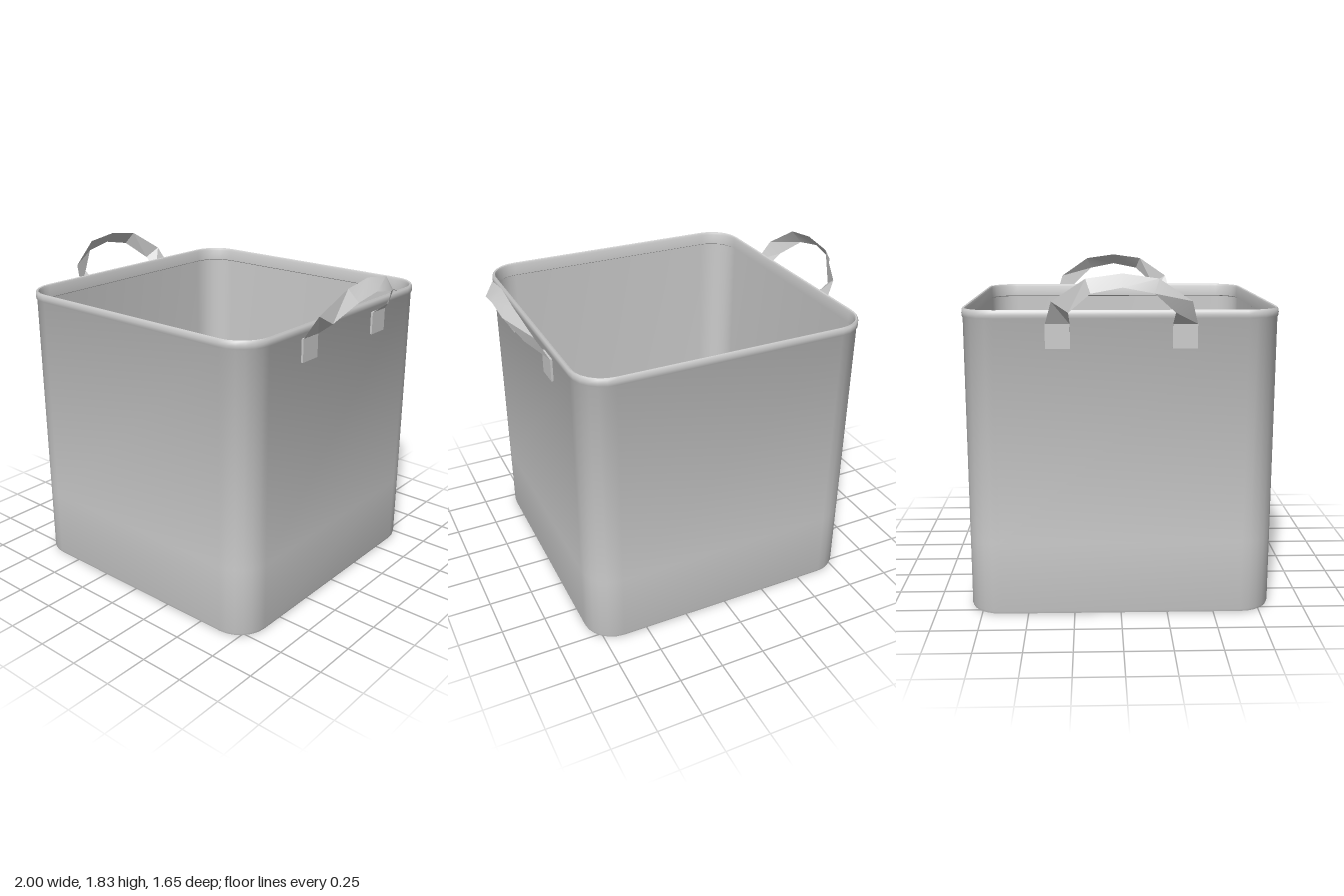
import * as THREE from 'three';
import { toCreasedNormals } from 'three/addons/utils/BufferGeometryUtils.js';

const material = new THREE.MeshStandardMaterial({ color: 0xcccccc, side: THREE.DoubleSide });

// Joins rows of points into a surface; each row has the same number of points.
function loft(rows, crease) {
  const n = rows[0].length;
  const index = [];
  for (let r = 0; r < rows.length - 1; r++) {
    for (let i = 0; i < n - 1; i++) {
      const a = r * n + i, b = a + n;
      index.push(a, b, a + 1, a + 1, b, b + 1);
    }
  }
  const geometry = new THREE.BufferGeometry();
  geometry.setAttribute('position', new THREE.Float32BufferAttribute(rows.flat(2), 3));
  geometry.setIndex(index);
  return toCreasedNormals(geometry, crease);
}

// Closed rounded-rectangle ring at height y, pulled in by inset.
function ring(inset, y) {
  const radius = Math.max(0.18 - inset, 0.02), steps = 6;
  const hx = 0.82 - inset - radius, hz = 0.825 - inset - radius;
  const points = [];
  for (let corner = 0; corner < 4; corner++) {
    const sx = corner === 0 || corner === 3 ? 1 : -1;
    const sz = corner < 2 ? 1 : -1;
    for (let i = 0; i <= steps; i++) {
      const a = (corner + i / steps) * Math.PI / 2;
      points.push([sx * hx + radius * Math.cos(a), y, sz * hz + radius * Math.sin(a)]);
    }
  }
  points.push(points[0]);
  return points;
}

// Slab that fills a rounded-rectangle outline
function panel(inset, y, up) {
  const shape = new THREE.Shape(ring(inset, 0).map(([x, , z]) => new THREE.Vector2(x, z)));
  const geometry = new THREE.ShapeGeometry(shape);
  geometry.rotateX(up ? -Math.PI / 2 : Math.PI / 2);
  geometry.translate(0, y, 0);
  return geometry;
}

function add(parent, name, geometry) {
  const mesh = new THREE.Mesh(geometry, material);
  mesh.name = name;
  parent.add(mesh);
  return mesh;
}

function createHandle() {
  const handle = new THREE.Group();
  // Half of the strap: [upper edge, lower edge] as x, y, z, from wall to middle
  const half = [
    [[0.825, 1.57, 0.385], [0.825, 1.57, 0.26]],
    [[0.89, 1.69, 0.35], [0.915, 1.637, 0.265]],
    [[0.94, 1.805, 0.18], [0.99, 1.737, 0.155]],
    [[0.94, 1.83, 0], [1.0, 1.767, 0]],
  ];
  const mirrored = half.slice(0, 3).reverse().map(row => row.map(([x, y, z]) => [x, y, -z]));
  add(handle, 'handleStrap', loft([...half, ...mirrored], 0.5));

  // Flat tabs fixed to the wall
  for (const side of [1, -1]) {
    const tab = add(handle, 'handleTab', new THREE.BoxGeometry(0.014, 0.125, 0.126));
    tab.position.set(0.819, 1.5085, side * 0.323);
  }
  return handle;
}

export function createModel() {
  const model = new THREE.Group();
  model.name = 'storageBasket';

  // Wall profile as [inset, y]: up the outside, over the rolled rim, down the inside
  const profile = [
    [0.02, 0], [0.01, 0.004], [0.006, 0.018], [0.006, 0.4], [0.006, 1.59],
    [0.001, 1.598], [0, 1.615], [0.002, 1.632], [0.008, 1.64], [0.016, 1.637],
    [0.021, 1.625], [0.022, 1.565], [0.014, 1.56], [0.014, 0.4], [0.016, 0.015],
  ];
  add(model, 'walls', loft(profile.map(([inset, y]) => ring(inset, y)), 0.8));
  add(model, 'base', panel(0.02, 0, false));
  add(model, 'innerFloor', panel(0.016, 0.015, true));

  // The two handles, one on each side
  for (const [name, turn] of [['leftHandle', 0], ['rightHandle', Math.PI]]) {
    const handle = createHandle();
    handle.name = name;
    handle.rotation.y = turn;
    model.add(handle);
  }
  return model;
}
